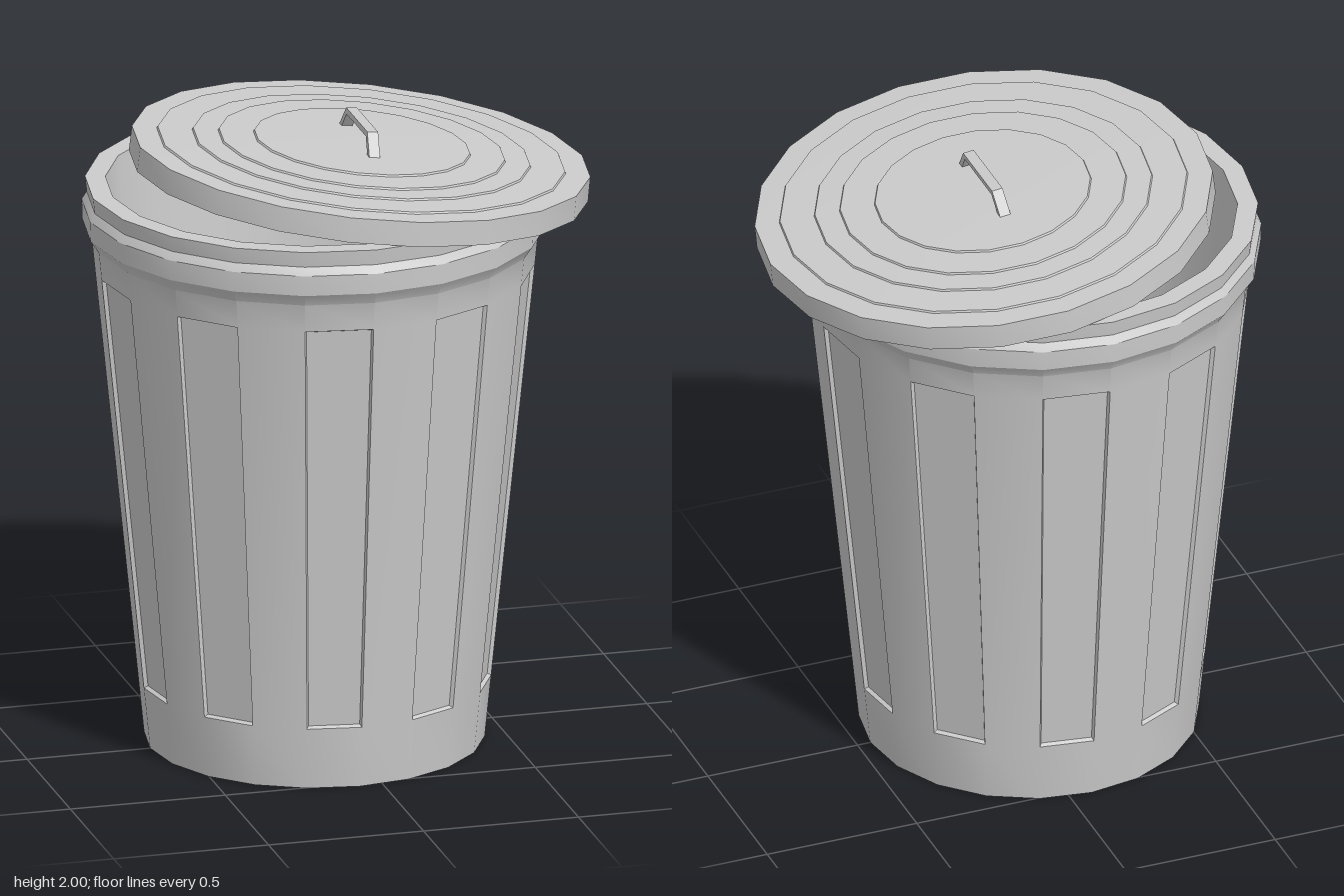
import * as THREE from 'three';
import { mergeGeometries, toCreasedNormals } from 'three/addons/utils/BufferGeometryUtils.js';

const SIDES = 20;
const CREASE = 0.5;
const grey = new THREE.MeshStandardMaterial({ color: 0xcccccc });

// Turned surface from [radius, height] pairs, positions only so it can be merged
function turned(profile) {
  const g = new THREE.LatheGeometry(profile.map(([r, y]) => new THREE.Vector2(r, y)), SIDES).toNonIndexed();
  g.deleteAttribute('uv');
  g.deleteAttribute('normal');
  return g;
}

function makeMesh(name, geometry) {
  const mesh = new THREE.Mesh(toCreasedNormals(geometry, CREASE), grey);
  mesh.name = name;
  return mesh;
}

// Tapered wall: every second facet carries a shallow recessed panel
function panelledWall(r0, y0, r1, y1, depth, inset) {
  const verts = [];
  const quad = (a, b, c, d) => [a, b, c, a, c, d].forEach(p => verts.push(p.x, p.y, p.z));
  const point = (k, r, y) => {
    const a = (k / SIDES) * Math.PI * 2;
    return new THREE.Vector3(r * Math.cos(a), y, r * Math.sin(a));
  };
  for (let k = 0; k < SIDES; k++) {
    const outer = [point(k + 1, r0, y0), point(k, r0, y0), point(k, r1, y1), point(k + 1, r1, y1)];
    if (k % 2 === 0) {
      quad(...outer);
      continue;
    }
    const right = outer[1].clone().sub(outer[0]).normalize();
    const up = outer[3].clone().add(outer[2]).sub(outer[0]).sub(outer[1]).normalize();
    const out = right.clone().cross(up);
    const inner = outer.map((p, i) => p.clone()
      .addScaledVector(out, -depth)
      .addScaledVector(right, i === 0 || i === 3 ? inset : -inset)
      .addScaledVector(up, i < 2 ? inset : -inset));
    quad(...inner);
    for (let i = 0; i < 4; i++) {
      const j = (i + 1) % 4;
      quad(outer[i], outer[j], inner[j], inner[i]);
    }
  }
  const g = new THREE.BufferGeometry();
  g.setAttribute('position', new THREE.Float32BufferAttribute(verts, 3));
  return g;
}

export function createModel() {
  const model = new THREE.Group();
  model.name = 'trashCan';

  // Can: base band, panelled wall, beaded rim and hollow inside
  const base = turned([[0, 0], [0.53, 0], [0.55, 0.2]]);
  const wall = panelledWall(0.55, 0.2, 0.686, 1.55, 0.012, 0.006);
  const rimAndInside = turned([
    [0.686, 1.55], [0.695, 1.64], [0.722, 1.68], [0.724, 1.745], [0.708, 1.77],
    [0.714, 1.82], [0.65, 1.82], [0.5, 0.04], [0, 0.04],
  ]);
  const can = makeMesh('can', mergeGeometries([base, wall, rimAndInside]));
  can.position.x = -0.073;
  model.add(can);

  // Lid: hollow, slid aside and tilted
  const lid = new THREE.Group();
  lid.name = 'lid';
  lid.position.set(0.078, 1.897, 0);
  lid.rotation.z = -THREE.MathUtils.degToRad(6.2);
  model.add(lid);

  // Low cone with a small step up at each ring
  const profile = [[0, -0.012], [0.695, -0.012], [0.7, -0.08], [0.718, -0.08], [0.717, 0]];
  let y = 0;
  for (const r of [0.64, 0.53, 0.45, 0.34]) {
    y += 0.002;
    profile.push([r, y]);
    y += 0.006;
    profile.push([r - 0.003, y]);
  }
  profile.push([0, 0.038]);
  lid.add(makeMesh('lidCover', turned(profile)));

  // Handle: bent strap across the lid
  const strap = new THREE.Shape([
    [-0.18, 0.025], [-0.155, 0.025], [-0.112, 0.085], [0.112, 0.085],
    [0.155, 0.025], [0.18, 0.025], [0.122, 0.103], [-0.122, 0.103],
  ].map(([x, h]) => new THREE.Vector2(x, h)));
  const handleGeometry = new THREE.ExtrudeGeometry(strap, { depth: 0.035, bevelEnabled: false });
  handleGeometry.translate(0, 0, -0.0175).rotateY(Math.PI / 2);
  const handle = makeMesh('handle', handleGeometry);
  handle.position.x = -0.008;
  lid.add(handle);

  return model;
}
